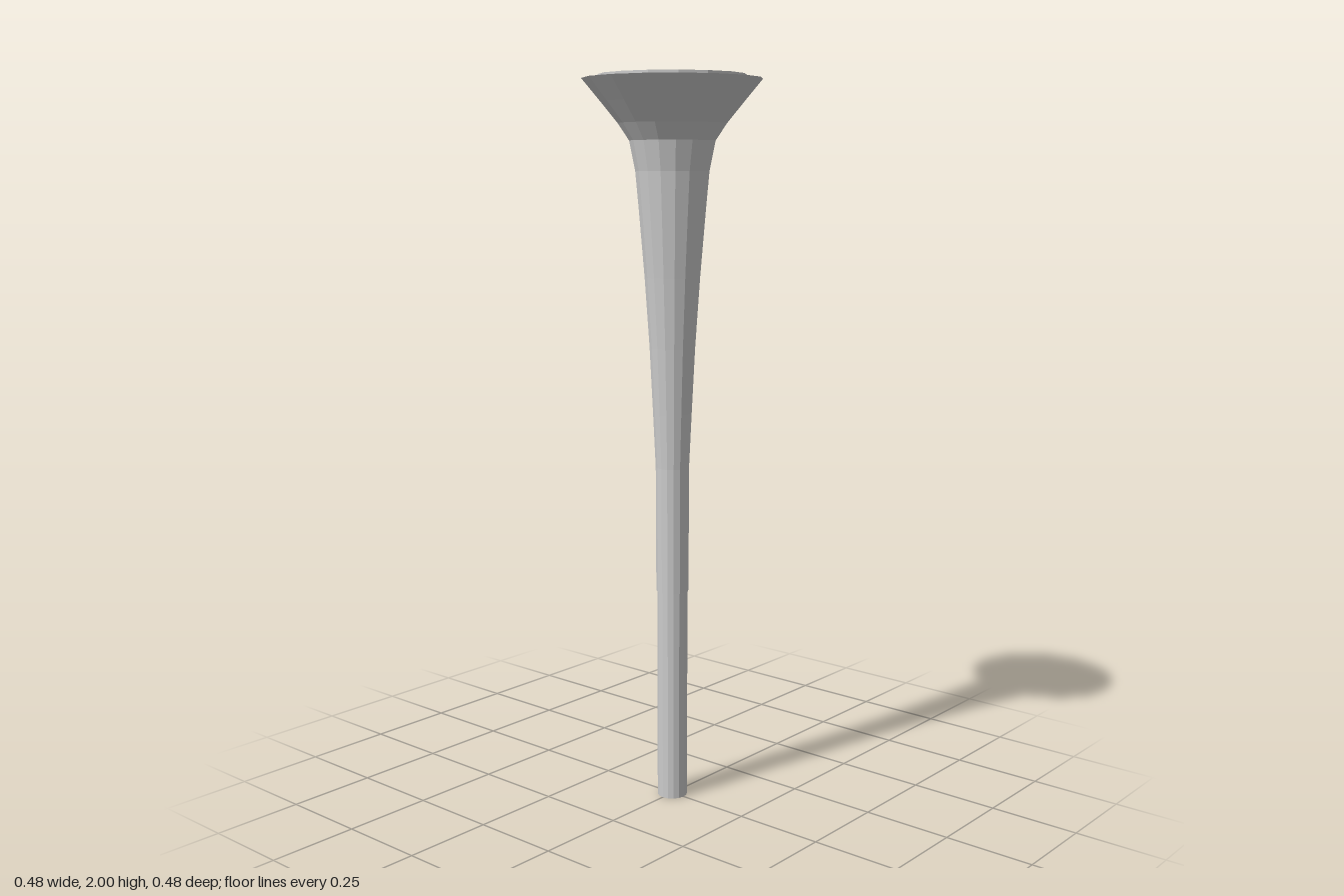
import * as THREE from 'three';

const SIDES = 16;

// Faceted turned part from [radius, height] points
function turned(name, points) {
  const geometry = new THREE.LatheGeometry(points.map(([r, y]) => new THREE.Vector2(r, y)), SIDES);
  const material = new THREE.MeshStandardMaterial({
    color: 0xcccccc, flatShading: true, side: THREE.DoubleSide,
  });
  const mesh = new THREE.Mesh(geometry, material);
  mesh.name = name;
  return mesh;
}

export function createModel() {
  const group = new THREE.Group();
  group.name = 'flaredHorn';

  // Straight lower tube with a closed foot
  group.add(turned('lowerTube', [[0, 0], [0.042, 0], [0.042, 0.6]]));

  // Slowly widening body that ends in a flared bell
  group.add(turned('flaredBody', [
    [0.042, 0.6], [0.045, 0.6], [0.046, 0.95], [0.053, 1.1], [0.062, 1.28],
    [0.075, 1.47], [0.09, 1.65], [0.099, 1.75], [0.115, 1.83],
    [0.145, 1.875], [0.19, 1.93], [0.24, 1.99],
  ]));

  // Mouth: stepped rings, each sloping inward, around a deeper cup
  group.add(turned('steppedMouth', [
    [0.24, 1.99], [0.197, 1.978], [0.197, 2.0], [0.157, 1.975], [0.157, 1.993],
    [0.11, 1.965], [0.11, 1.983], [0.08, 1.96], [0.033, 1.9], [0.02, 1.895], [0, 1.895],
  ]));

  return group;
}
